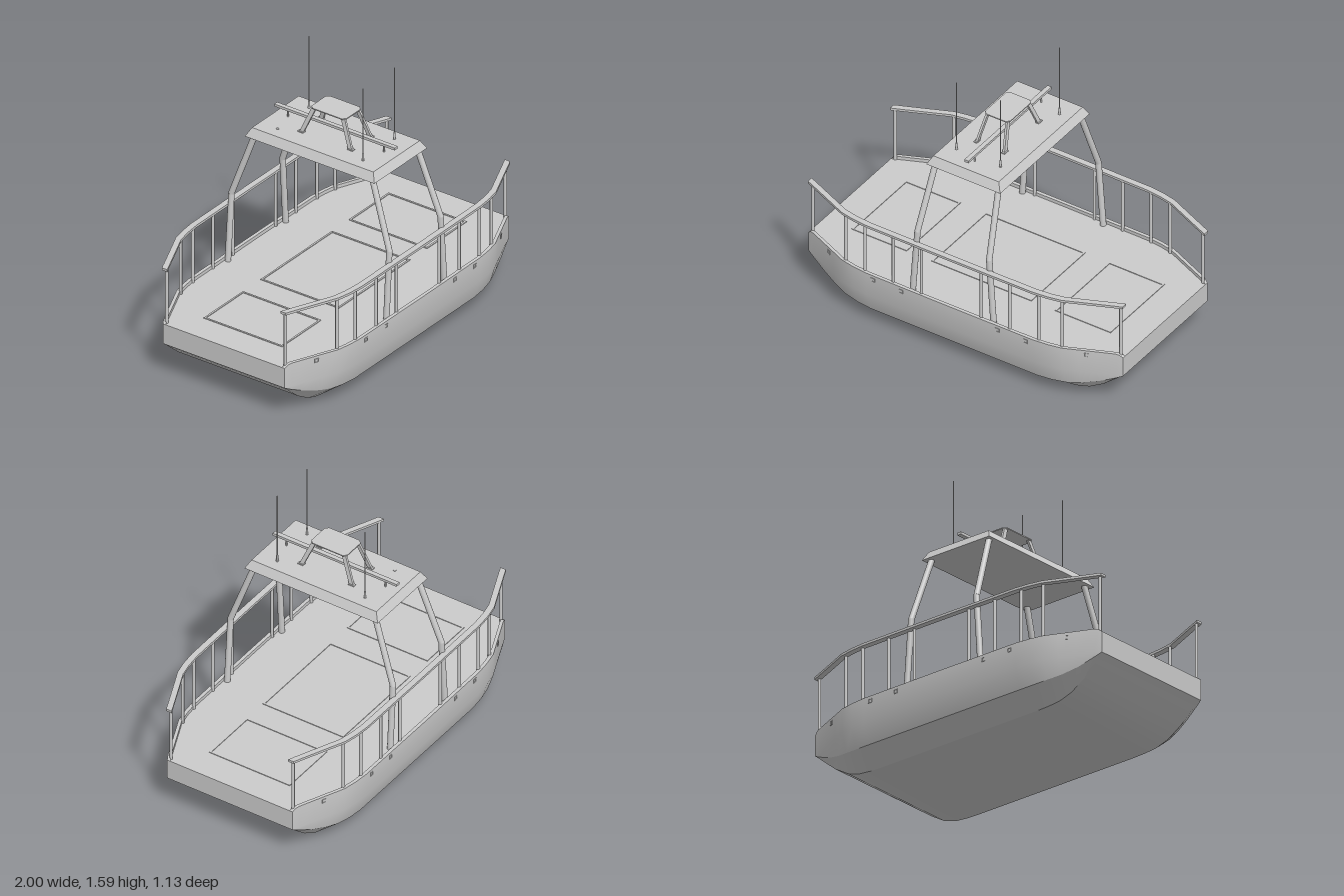
import * as THREE from 'three';
import { toCreasedNormals } from 'three/addons/utils/BufferGeometryUtils.js';

const mat = new THREE.MeshStandardMaterial({ color: 0xcccccc, side: THREE.DoubleSide });
const V = (x, y, z) => new THREE.Vector3(x, y, z);
const SIGNS = [-1, 1];

// Half stations: x, half width, chine z, chine y, bottom z, bottom y, rim y
const HALF = [
  [0, 0.557, 0.515, 0.083, 0.39, 0, 0.34],
  [0.53, 0.555, 0.515, 0.083, 0.39, 0, 0.34],
  [0.62, 0.546, 0.508, 0.087, 0.39, 0.002, 0.34],
  [0.7, 0.53, 0.495, 0.095, 0.39, 0.01, 0.34],
  [0.78, 0.495, 0.47, 0.11, 0.39, 0.035, 0.34],
  [0.87, 0.456, 0.44, 0.138, 0.39, 0.09, 0.34],
  [0.96, 0.417, 0.413, 0.179, 0.39, 0.166, 0.34],
  [0.98, 0.409, 0.407, 0.189, 0.39, 0.184, 0.336],
  [1, 0.4, 0.4, 0.2, 0.395, 0.2, 0.32],
];
const STATIONS = [...HALF.slice(1).reverse().map(([x, ...r]) => [-x, ...r]), ...HALF];
const DECK = 0.32;

// Half width of the hull at a given x
function halfWidth(x) {
  const ax = Math.abs(x);
  const i = Math.max(1, HALF.findIndex((s) => s[0] >= ax));
  const a = HALF[i - 1], b = HALF[i];
  return a[1] + (b[1] - a[1]) * (ax - a[0]) / (b[0] - a[0]);
}

function add(parent, name, geometry, x = 0, y = 0, z = 0) {
  const mesh = new THREE.Mesh(geometry, mat);
  mesh.name = name;
  mesh.position.set(x, y, z);
  parent.add(mesh);
  return mesh;
}

// Round bar between two points
function bar(parent, name, a, b, r, seg = 10) {
  const mesh = add(parent, name, new THREE.CylinderGeometry(r, r, a.distanceTo(b), seg));
  mesh.position.copy(a).lerp(b, 0.5);
  mesh.quaternion.setFromUnitVectors(V(0, 1, 0), b.clone().sub(a).normalize());
  return mesh;
}

// Flat outline in x and z, raised by a height
function slab(points, height, hole) {
  const shape = new THREE.Shape(points.map(([x, z]) => new THREE.Vector2(x, -z)));
  if (hole) shape.holes.push(new THREE.Path(hole.map(([x, z]) => new THREE.Vector2(x, -z))));
  return new THREE.ExtrudeGeometry(shape, { depth: height, bevelEnabled: false }).rotateX(-Math.PI / 2);
}
const rect = (w, d) => [[-w, -d], [w, -d], [w, d], [-w, d]];

// Hull skin lofted through the stations, with a low rim round the deck
function hullGeometry() {
  const rings = STATIONS.map(([x, w, cz, cy, bz, by, rim]) => {
    const side = [[w - 0.02, DECK], [w - 0.02, rim], [w, rim], [w, 0.2], [cz, cy], [bz, by]];
    const other = side.map(([z, y]) => [-z, y]).reverse();
    return [...side, ...other].map(([z, y]) => [x, y, z]);
  });
  const n = rings[0].length, pos = [];
  const tri = (...p) => p.forEach((q) => pos.push(...q));
  for (let i = 0; i < rings.length - 1; i++) {
    const a = rings[i], b = rings[i + 1];
    for (let j = 0; j < n; j++) {
      const k = (j + 1) % n;
      tri(a[j], a[k], b[j]);
      tri(b[j], a[k], b[k]);
    }
  }
  const first = rings[0], last = rings[rings.length - 1];
  for (let j = 1; j < n - 1; j++) {
    tri(last[0], last[j], last[j + 1]);
    tri(first[0], first[j + 1], first[j]);
  }
  const g = new THREE.BufferGeometry();
  g.setAttribute('position', new THREE.Float32BufferAttribute(pos, 3));
  return toCreasedNormals(g, 0.45);
}

function addRailings(model) {
  for (const s of SIGNS) {
    const railing = new THREE.Group();
    railing.name = s > 0 ? 'frontRailing' : 'backRailing';
    const outer = STATIONS.map(([x, w]) => [x, s * (w + 0.006)]);
    const inner = STATIONS.map(([x, w]) => [x, s * (w - 0.029)]).reverse();
    add(railing, 'handrail', slab([...outer, ...inner], 0.014), 0, 0.645, 0);
    for (const m of SIGNS) {
      for (const px of [0.19, 0.37, 0.553, 0.688, 0.979]) {
        const z = s * (halfWidth(px) - 0.02);
        bar(railing, 'railPost', V(m * px, DECK, z), V(m * px, 0.648, z), 0.009);
      }
    }
    model.add(railing);
  }
}

function addArch(model) {
  // Bent legs, each with a round joint at the knee
  for (const sx of SIGNS) for (const sz of SIGNS) {
    const foot = V(sx * 0.257, DECK, sz * 0.52);
    const knee = V(sx * 0.228, 0.72, sz * 0.518);
    const head = V(sx * 0.199, 1.115, sz * 0.382);
    const leg = new THREE.Group();
    leg.name = 'archLeg';
    bar(leg, 'lowerLeg', foot, knee, 0.017, 14);
    bar(leg, 'upperLeg', knee, head, 0.017, 14);
    add(leg, 'knee', new THREE.SphereGeometry(0.017, 14, 8), ...knee.toArray());
    model.add(leg);
  }
  // Roof with sloping edges
  const roof = new THREE.BoxGeometry(0.47, 0.05, 0.85);
  const p = roof.attributes.position;
  for (let i = 0; i < p.count; i++) {
    if (p.getY(i) > 0) {
      p.setX(i, Math.sign(p.getX(i)) * 0.208);
      p.setZ(i, Math.sign(p.getZ(i)) * 0.398);
    }
  }
  roof.computeVertexNormals();
  add(model, 'roof', roof, 0, 1.125, 0);
}

function addRoofGear(model) {
  // Long crossbar on two short struts
  add(model, 'roofBar', new THREE.BoxGeometry(0.026, 0.015, 0.79), 0, 1.197, 0);
  for (const s of SIGNS) bar(model, 'roofBarStrut', V(0, 1.148, s * 0.315), V(0, 1.192, s * 0.315), 0.005);

  // Small raised platform on four splayed legs
  const hx = 0.08, hz = 0.115, c = 0.018;
  const plate = [];
  for (const [sx, sz] of [[-1, -1], [1, -1], [1, 1], [-1, 1]]) {
    const corner = [[sx * hx, sz * (hz - c)], [sx * (hx - c), sz * hz]];
    plate.push(...(sx * sz > 0 ? corner : corner.reverse()));
  }
  add(model, 'platformTop', slab(plate, 0.006), 0, 1.306, 0);
  for (const sx of SIGNS) for (const sz of SIGNS) {
    const g = new THREE.BoxGeometry(0.013, 0.156, 0.026);
    const q = g.attributes.position;
    for (let i = 0; i < q.count; i++) {
      const t = 0.5 - q.getY(i) / 0.156;
      q.setX(i, q.getX(i) + sx * (0.063 + 0.024 * t));
      q.setZ(i, q.getZ(i) + sz * (0.096 + 0.064 * t));
    }
    g.computeVertexNormals();
    add(model, 'platformLeg', g, 0, 1.228, 0);
    add(model, 'platformFoot', new THREE.BoxGeometry(0.022, 0.006, 0.036), sx * 0.088, 1.152, sz * 0.162);
  }

  // Three whip aerials; the fourth socket stays empty
  for (const sx of SIGNS) for (const sz of SIGNS) {
    const x = sx * 0.14, z = sz * 0.28;
    bar(model, 'aerialSocket', V(x, 1.148, z), V(x, 1.154, z), 0.008);
    if (sx < 0 && sz < 0) continue;
    bar(model, 'aerialBase', V(x, 1.15, z), V(x, 1.19, z), 0.006);
    bar(model, 'aerial', V(x, 1.19, z), V(x, 1.585, z), 0.003, 6);
  }
}

export function createModel() {
  const model = new THREE.Group();
  model.name = 'boat';
  add(model, 'hull', hullGeometry());

  // Hatch outlines on the deck
  for (const [x, w] of [[-0.65, 0.175], [0, 0.318], [0.645, 0.177]]) {
    add(model, 'hatchFrame', slab(rect(w, 0.257), 0.004, rect(w - 0.01, 0.247)), x, DECK, -0.004);
  }

  // Square drain openings along both sides
  const drain = slab(rect(0.012, 0.012), 0.004, rect(0.008, 0.008)).rotateX(Math.PI / 2);
  for (const s of SIGNS) for (const x of [-0.82, -0.487, -0.308, 0.305, 0.483, 0.818]) {
    const mesh = add(model, 'drain', drain, x, 0.312, s * (halfWidth(x) - 0.001));
    const slope = (halfWidth(x + 0.01) - halfWidth(x - 0.01)) / 0.02;
    mesh.rotation.y = s > 0 ? -Math.atan(slope) : Math.PI + Math.atan(slope);
  }

  addRailings(model);
  addArch(model);
  addRoofGear(model);
  return model;
}
